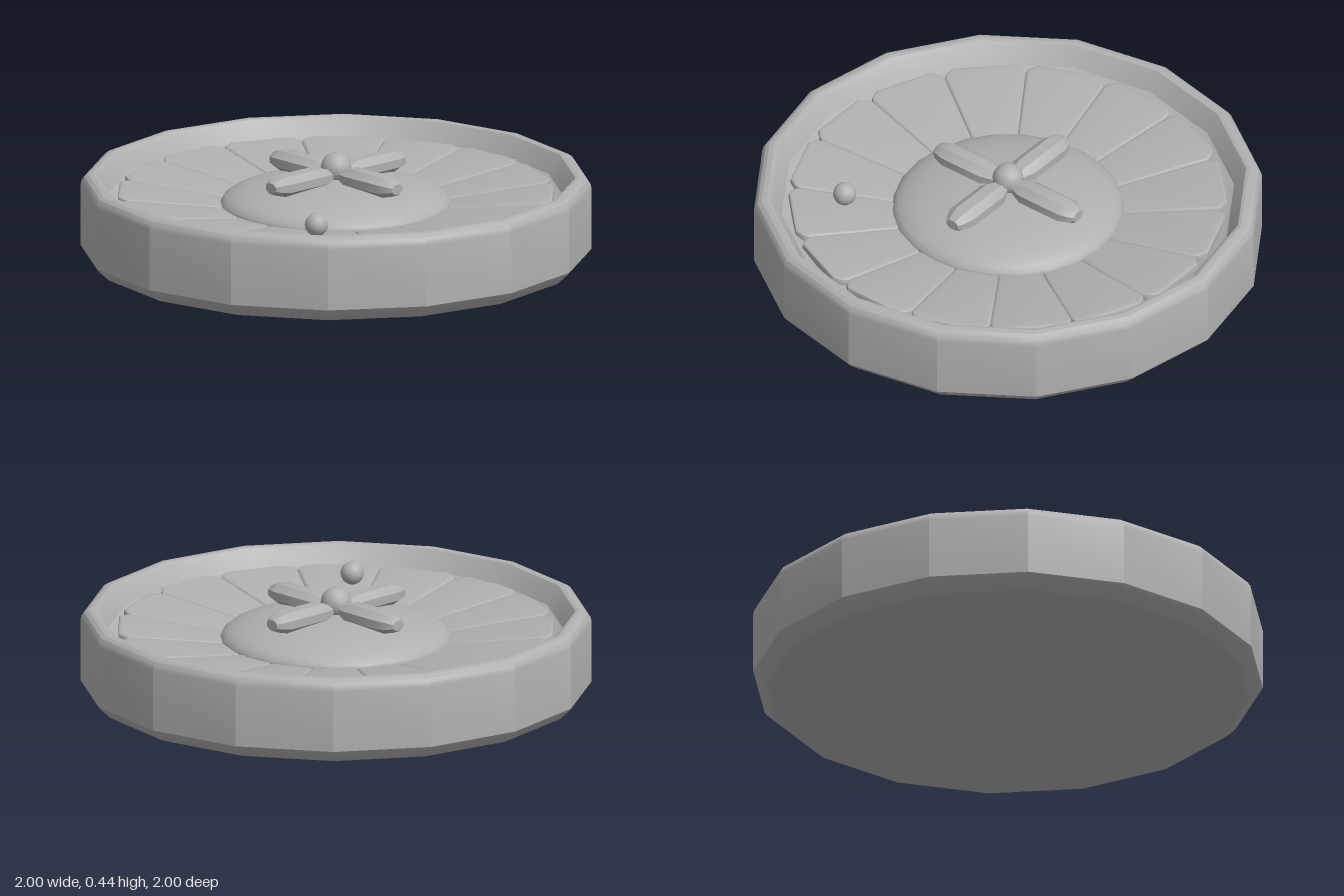
import * as THREE from 'three';
import { toCreasedNormals } from 'three/addons/utils/BufferGeometryUtils.js';

const SIDES = 16;

export function createModel() {
  const model = new THREE.Group();
  model.name = 'rouletteWheel';
  const grey = new THREE.MeshStandardMaterial({ color: 0xb0b0b0 });
  grey.name = 'plain grey';

  const add = (name, geometry, parent = model) => {
    const mesh = new THREE.Mesh(geometry, grey);
    mesh.name = name;
    parent.add(mesh);
    return mesh;
  };

  // Sixteen-sided bowl with a chamfered foot, a rounded lip and a sloping inner wall
  const profile = [[0, 0], [0.935, 0], [0.95, 0.006], [0.99, 0.043], [1, 0.056],
    [1, 0.3], [0.996, 0.317], [0.986, 0.332], [0.97, 0.342], [0.95, 0.345], [0.937, 0.342],
    [0.925, 0.328], [0.89, 0.268], [0.85, 0.25], [0.4, 0.2], [0, 0.2]]
    .map(([r, y]) => new THREE.Vector2(r, y));
  add('bowl', toCreasedNormals(new THREE.LatheGeometry(profile, SIDES), 0.37));

  // Ring of padded pockets rising gently towards the rim
  const bevel = 0.014;
  const tan = Math.tan(Math.PI / SIDES);
  const inner = 0.4, outer = 0.836;
  const wi = inner * tan - bevel, wo = 0.8 * tan - bevel;
  const outline = new THREE.Shape([[-wi, inner], [wi, inner], [wo, 0.8], [wo - 0.005, 0.815],
    [wo - 0.028, outer], [-wo + 0.028, outer], [-wo + 0.005, 0.815], [-wo, 0.8]]
    .map(([x, y]) => new THREE.Vector2(x, y)));
  const pad = new THREE.ExtrudeGeometry(outline, {
    depth: 0.03, bevelEnabled: true, bevelSize: bevel, bevelThickness: 0.01, bevelSegments: 3,
  });
  pad.rotateX(-Math.PI / 2);
  const p = pad.attributes.position;
  for (let i = 0; i < p.count; i++) {
    const r = -p.getZ(i);
    p.setY(i, p.getY(i) - 0.04 + 0.236 + (r - 0.45) * 0.122);
  }
  const padGeometry = toCreasedNormals(pad, 0.6);
  const pockets = new THREE.Group();
  pockets.name = 'pockets';
  model.add(pockets);
  for (let i = 0; i < SIDES; i++) {
    add('pocket', padGeometry, pockets).rotation.y = (i / SIDES) * Math.PI * 2;
  }

  // Flattened central dome
  const dome = new THREE.SphereGeometry(0.455, 24, 10, 0, Math.PI * 2, 0, Math.PI / 2);
  dome.scale(1, 0.24, 1);
  add('dome', dome).position.y = 0.228;

  // Four tapered, eight-sided handle arms
  const stations = [[0, 0.4], [0.04, 0.55], [0.1, 1], [0.29, 1], [0.335, 0.72], [0.35, 0.5]];
  const armProfile = stations.map(([d, s]) => new THREE.Vector2(0.062 * s, d));
  armProfile.push(new THREE.Vector2(0, 0.35));
  const arm = new THREE.LatheGeometry(armProfile, 8, Math.PI / 8);
  arm.rotateX(Math.PI / 2);
  arm.scale(1, 0.7, 1);
  const armGeometry = toCreasedNormals(arm, 0.5);
  const handle = new THREE.Group();
  handle.name = 'handle';
  handle.position.y = 0.352;
  model.add(handle);
  for (let i = 0; i < 4; i++) add('handleArm', armGeometry, handle).rotation.y = (i * Math.PI) / 2;

  // Stem and knob above the dome
  add('stem', new THREE.CylinderGeometry(0.035, 0.05, 0.1, 12), handle).position.y = -0.03;
  add('knob', new THREE.SphereGeometry(0.062, 12, 8), handle).position.y = 0.022;

  // Loose ball resting on a pocket
  add('ball', new THREE.SphereGeometry(0.046, 16, 10)).position.set(0.41, 0.309, 0.49);

  return model;
}
